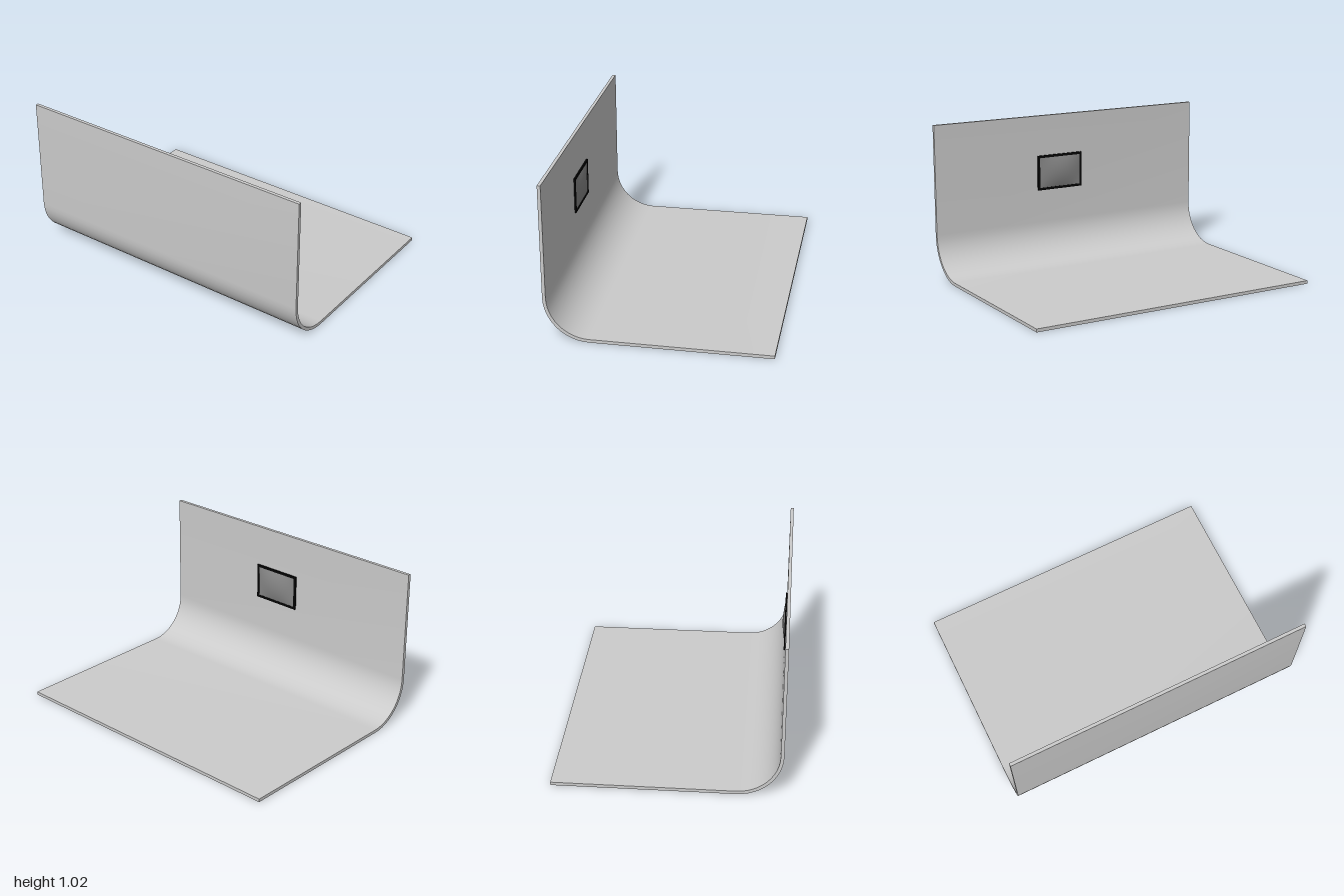
import * as THREE from 'three';
import { toCreasedNormals } from 'three/addons/utils/BufferGeometryUtils.js';

const grey = new THREE.MeshStandardMaterial({ color: 0xcccccc });
const black = new THREE.MeshStandardMaterial({ color: 0x050505 });
const darkGrey = new THREE.MeshStandardMaterial({ color: 0x888888, side: THREE.DoubleSide });

const HALF_X = 0.71, HEIGHT = 1.02, THICK = 0.021, RADIUS = 0.285;
const SCREEN_W = 0.34, SCREEN_H = 0.24, BORDER = 0.016;

function addMesh(parent, name, geometry, material) {
  const mesh = new THREE.Mesh(geometry, material);
  mesh.name = name;
  parent.add(mesh);
  return mesh;
}

// Wall and floor in one sheet, joined by a rounded bend
function sweepGeometry() {
  const cx = -HALF_X + RADIUS, cy = RADIUS;
  const s = new THREE.Shape();
  s.moveTo(-HALF_X, HEIGHT);
  s.lineTo(-HALF_X, cy);
  s.absarc(cx, cy, RADIUS, Math.PI, Math.PI * 1.5, false);
  s.lineTo(HALF_X, 0);
  s.lineTo(HALF_X, THICK);
  s.lineTo(cx, THICK);
  s.absarc(cx, cy, RADIUS - THICK, Math.PI * 1.5, Math.PI, true);
  s.lineTo(-HALF_X + THICK, HEIGHT);
  s.closePath();
  const g = new THREE.ExtrudeGeometry(s, { depth: 2, bevelEnabled: false, curveSegments: 6 });
  g.translate(0, 0, -1);
  return toCreasedNormals(g, 0.5);
}

function rectangle(target, w, h) {
  target.moveTo(-w / 2, -h / 2);
  target.lineTo(w / 2, -h / 2);
  target.lineTo(w / 2, h / 2);
  target.lineTo(-w / 2, h / 2);
  target.closePath();
  return target;
}

// Thin border with a rectangular opening
function frameGeometry() {
  const s = rectangle(new THREE.Shape(), SCREEN_W, SCREEN_H);
  s.holes.push(rectangle(new THREE.Path(), SCREEN_W - 2 * BORDER, SCREEN_H - 2 * BORDER));
  return new THREE.ExtrudeGeometry(s, { depth: 0.01, bevelEnabled: false });
}

// Panel bulging towards its middle
function panelGeometry() {
  const w = SCREEN_W - 2 * BORDER, h = SCREEN_H - 2 * BORDER;
  const g = new THREE.PlaneGeometry(w, h, 20, 16);
  const p = g.attributes.position;
  for (let i = 0; i < p.count; i++) {
    const u = p.getX(i) / (w / 2), v = p.getY(i) / (h / 2);
    p.setZ(i, 0.007 + 0.017 * (1 - u * u) * (1 - v * v));
  }
  g.computeVertexNormals();
  return g;
}

export function createModel() {
  const model = new THREE.Group();
  model.name = 'curvedBackdrop';
  addMesh(model, 'backdropSheet', sweepGeometry(), grey);

  // Screen hung on the inner face of the wall
  const screen = new THREE.Group();
  screen.name = 'wallScreen';
  addMesh(screen, 'screenFrame', frameGeometry(), black);
  addMesh(screen, 'screenPanel', panelGeometry(), darkGrey);
  screen.rotation.y = Math.PI / 2;
  screen.position.set(-HALF_X + THICK, 0.625, 0.075);
  model.add(screen);
  return model;
}
